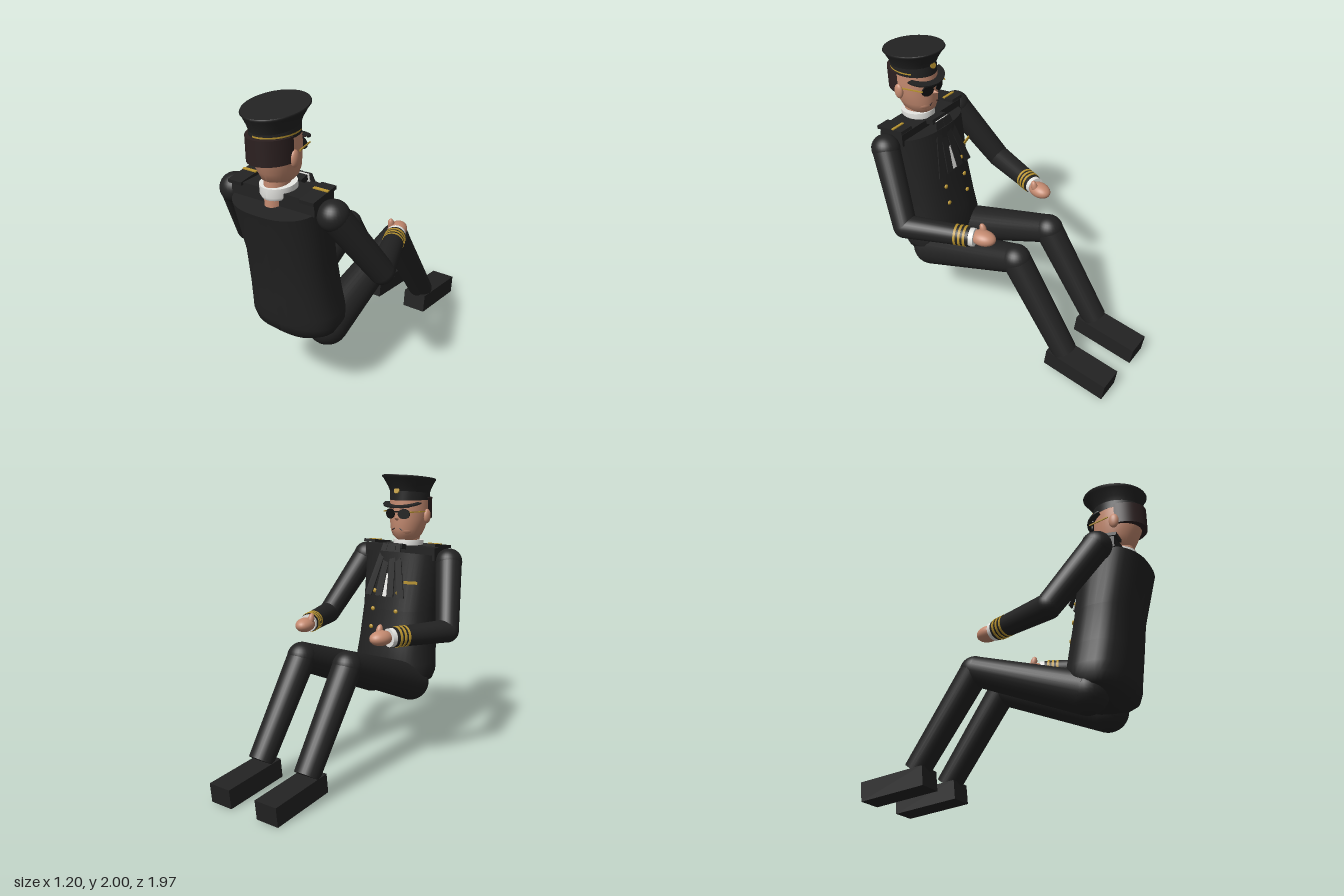
import * as THREE from 'three';

const mat = (name, color) => {
  const m = new THREE.MeshStandardMaterial({ color });
  m.name = name;
  return m;
};
const V = (x, y, z) => new THREE.Vector3(x, y, z);

// Closed skin through horizontal superellipse rings [y, z, rx, rz, tilt]
function loft(rings, power = 2, n = 40) {
  const pos = [], idx = [];
  const f = c => Math.sign(c) * Math.abs(c) ** (2 / power);
  const ring = ([y, z, rx, rz, tilt = 0]) => {
    for (let i = 0; i <= n; i++) {
      const a = i / n * Math.PI * 2, dz = f(Math.cos(a)) * rz;
      pos.push(f(Math.sin(a)) * rx, y - tilt * dz, z + dz);
    }
  };
  rings.forEach(ring);
  for (let j = 0; j < rings.length - 1; j++) for (let i = 0; i < n; i++) {
    const a = j * (n + 1) + i, b = a + n + 1;
    idx.push(a, a + 1, b + 1, a, b + 1, b);
  }
  // flat end caps with their own vertices
  [rings[0], rings[rings.length - 1]].forEach((r, k) => {
    const s = pos.length / 3;
    ring(r);
    pos.push(0, r[0], r[1]);
    for (let i = 0; i < n; i++) k ? idx.push(s + n + 1, s + i, s + i + 1) : idx.push(s + n + 1, s + i + 1, s + i);
  });
  const g = new THREE.BufferGeometry();
  g.setAttribute('position', new THREE.Float32BufferAttribute(pos, 3));
  g.setIndex(idx);
  g.computeVertexNormals();
  return g;
}

export function createModel() {
  const root = new THREE.Group();
  root.name = 'seatedOfficer';
  const suit = mat('black cloth', 0x222222), skin = mat('skin', 0xc48a70), gold = mat('gold', 0xb8932f);
  const white = mat('white linen', 0xe6e6e2), hair = mat('dark brown hair', 0x2c2020), black = mat('black', 0x111111);

  const add = (name, geo, m, p = V(0, 0, 0), rx = 0, ry = 0, rz = 0) => {
    const o = new THREE.Mesh(geo, m);
    o.name = name;
    o.position.copy(p);
    o.rotation.set(rx, ry, rz);
    root.add(o);
    return o;
  };
  const box = (name, w, h, d, m, ...r) => add(name, new THREE.BoxGeometry(w, h, d), m, ...r);
  const ball = (name, rx, ry, rz, m, ...r) =>
    add(name, new THREE.SphereGeometry(1, 28, 18).scale(rx, ry, rz), m, ...r);
  // Tapered tube between two points
  const tube = (name, a, b, ra, rb, m) => {
    const d = b.clone().sub(a);
    const o = add(name, new THREE.CylinderGeometry(rb, ra, d.length(), 28), m, a.clone().add(b).multiplyScalar(0.5));
    o.quaternion.setFromUnitVectors(V(0, 1, 0), d.normalize());
    return o;
  };

  // Jacket body and shoulder yoke
  add('jacket', loft([
    [0.45, 0.62, 0.08, 0.07], [0.48, 0.62, 0.2, 0.14], [0.53, 0.62, 0.285, 0.19], [0.59, 0.62, 0.308, 0.207],
    [0.66, 0.622, 0.305, 0.213], [0.8, 0.643, 0.29, 0.213], [1.04, 0.68, 0.282, 0.205],
    [1.42, 0.748, 0.3, 0.223, 0.17],
  ], 2.5), suit);
  box('shoulderYoke', 0.6, 0.09, 0.19, suit, V(0, 1.445, 0.74));

  // Double row of buttons and breast badge
  for (const s of [-1, 1]) [1.17, 1.04, 0.91].forEach(y =>
    ball('button', 0.016, 0.016, 0.01, gold, V(s * 0.1, y, 0.485 - (1.17 - y) * 0.16)));
  box('breastBadge', 0.1, 0.02, 0.009, gold, V(-0.19, 1.25, 0.512), 0, 0.3);

  // Shirt front and fanned neck ribbons
  const front = new THREE.Group();
  front.name = 'neckRibbons';
  front.position.set(0, 1.51, 0.547);
  front.rotation.x = 0.235;
  root.add(front);
  const strip = (name, a, b, w0, w1, z, m) => {
    const s = new THREE.Shape([[a - w0, 0], [b - w1, -0.38], [b + w1, -0.38], [a + w0, 0]]
      .map(p => new THREE.Vector2(...p)));
    const o = new THREE.Mesh(new THREE.ExtrudeGeometry(s, { depth: 0.008, bevelEnabled: false }), m);
    o.name = name;
    o.position.z = z;
    front.add(o);
  };
  strip('shirtFront', 0, 0, 0.06, 0.03, 0.009, white);
  [-0.14, -0.05, 0.05, 0.14].forEach((x, i) => strip('ribbon', x * 0.35, x, 0.022, 0.028, -0.003 * (i % 2), suit));
  box('neckBow', 0.13, 0.035, 0.06, suit, V(0, 1.49, 0.61), 0.2);

  // Neck, collar and head
  add('neck', loft([[1.4, 0.79, 0.062, 0.085], [1.58, 0.77, 0.075, 0.095]]), skin);
  add('collar', loft([[1.45, 0.765, 0.095, 0.11, 0.06], [1.47, 0.765, 0.107, 0.12, 0.06],
    [1.525, 0.768, 0.107, 0.116, 0.06]]), white);
  add('head', loft([[1.525, 0.745, 0.06, 0.08], [1.56, 0.75, 0.095, 0.125], [1.61, 0.755, 0.117, 0.143],
    [1.68, 0.77, 0.132, 0.16], [1.75, 0.775, 0.138, 0.168], [1.83, 0.775, 0.134, 0.165]]), skin);
  ball('jaw', 0.09, 0.052, 0.07, skin, V(0, 1.6, 0.685), 0.2);
  add('nose', new THREE.ConeGeometry(0.022, 0.06, 16), skin, V(0, 1.69, 0.6), -1.4);
  add('mouth', new THREE.TorusGeometry(0.06, 0.004, 6, 16, 1.6), hair, V(0, 1.56, 0.617), 0, 0, 0.77);
  add('hair', new THREE.CylinderGeometry(0.143, 0.143, 0.15, 36, 1, false, -Math.PI / 2, Math.PI)
    .scale(1, 1, 1.22), hair, V(0, 1.755, 0.795));

  // Ears, sunglasses and brows
  for (const s of [-1, 1]) {
    ball('ear', 0.022, 0.052, 0.034, skin, V(s * 0.142, 1.7, 0.79));
    box('glassesArm', 0.006, 0.008, 0.15, gold, V(s * 0.13, 1.735, 0.68), 0, s * 0.25);
    add('lens', new THREE.CylinderGeometry(0.036, 0.036, 0.009, 24).rotateX(Math.PI / 2).scale(1.25, 1, 1),
      black, V(s * 0.058, 1.72, 0.612), 0, s * -0.28);
    box('brow', 0.075, 0.012, 0.01, hair, V(s * 0.06, 1.768, 0.618), 0, s * -0.25, s * 0.12);
  }
  box('glassesBridge', 0.04, 0.008, 0.008, black, V(0, 1.735, 0.603));

  // Peaked cap
  add('capBand', loft([[1.815, 0.775, 0.135, 0.166], [1.885, 0.775, 0.135, 0.166]]), suit);
  add('capCrown', loft([[1.868, 0.775, 0.135, 0.166, 0.09], [1.9, 0.772, 0.146, 0.178, 0.1],
    [1.955, 0.764, 0.176, 0.208, 0.11], [1.968, 0.761, 0.186, 0.22, 0.115], [1.976, 0.761, 0.182, 0.216, 0.115]]), suit);
  add('capCord', new THREE.CylinderGeometry(0.1365, 0.1365, 0.01, 32, 1, true, -0.2, 2.3)
    .scale(1, 1, 1.23), gold, V(0, 1.838, 0.775));
  add('capBadge', new THREE.CylinderGeometry(0.022, 0.022, 0.009, 16).rotateX(Math.PI / 2),
    gold, V(0, 1.885, 0.603), 0.3);
  add('capVisor', new THREE.CylinderGeometry(1, 1, 1, 36, 1, false, Math.PI / 2, Math.PI)
    .scale(0.155, 0.01, 0.13), suit, V(0, 1.798, 0.692), -0.24);

  for (const s of [-1, 1]) {
    // Epaulette
    box('epaulette', 0.1, 0.022, 0.22, suit, V(s * 0.26, 1.498, 0.745), 0.13);
    box('epauletteStripe', 0.102, 0.008, 0.02, gold, V(s * 0.26, 1.515, 0.715), 0.13);

    // Arm, cuff stripes and hand
    const shoulder = V(s * 0.362, 1.39, 0.74), elbow = V(s * 0.52, 0.957, 0.475), wrist = V(s * 0.36, 0.967, 0.05);
    const at = t => elbow.clone().lerp(wrist, t);
    ball('shoulder', 0.095, 0.095, 0.098, suit, shoulder);
    tube('upperArm', shoulder, elbow, 0.093, 0.08, suit);
    ball('elbow', 0.08, 0.08, 0.08, suit, elbow);
    tube('forearm', elbow, wrist, 0.08, 0.066, suit);
    [0.78, 0.85, 0.92].forEach(t => tube('cuffStripe', at(t), at(t + 0.035), 0.0715, 0.0705, gold));
    tube('shirtCuff', at(0.97), at(1.07), 0.062, 0.062, white);
    ball('hand', 0.062, 0.05, 0.088, skin, V(s * 0.325, 0.972, -0.03), 0, s * 0.2);
    ball('thumb', 0.022, 0.045, 0.024, skin, V(s * 0.293, 1.01, -0.005), 0.25);

    // Leg and shoe
    const hip = V(s * 0.175 + 0.005, 0.512, 0.565), knee = V(s * 0.195 + 0.01, 0.8, -0.205);
    const ankle = V(s * 0.197 + 0.01, 0.18, -0.62);
    ball('hip', 0.135, 0.135, 0.135, suit, hip);
    tube('thigh', hip, knee, 0.135, 0.098, suit);
    ball('knee', 0.099, 0.099, 0.103, suit, knee);
    tube('shin', knee, ankle, 0.098, 0.085, suit);
    box('shoe', 0.172, 0.13, 0.468, suit, V(s * 0.195 + 0.01, 0.094, -0.752), -0.118);
  }
  return root;
}
